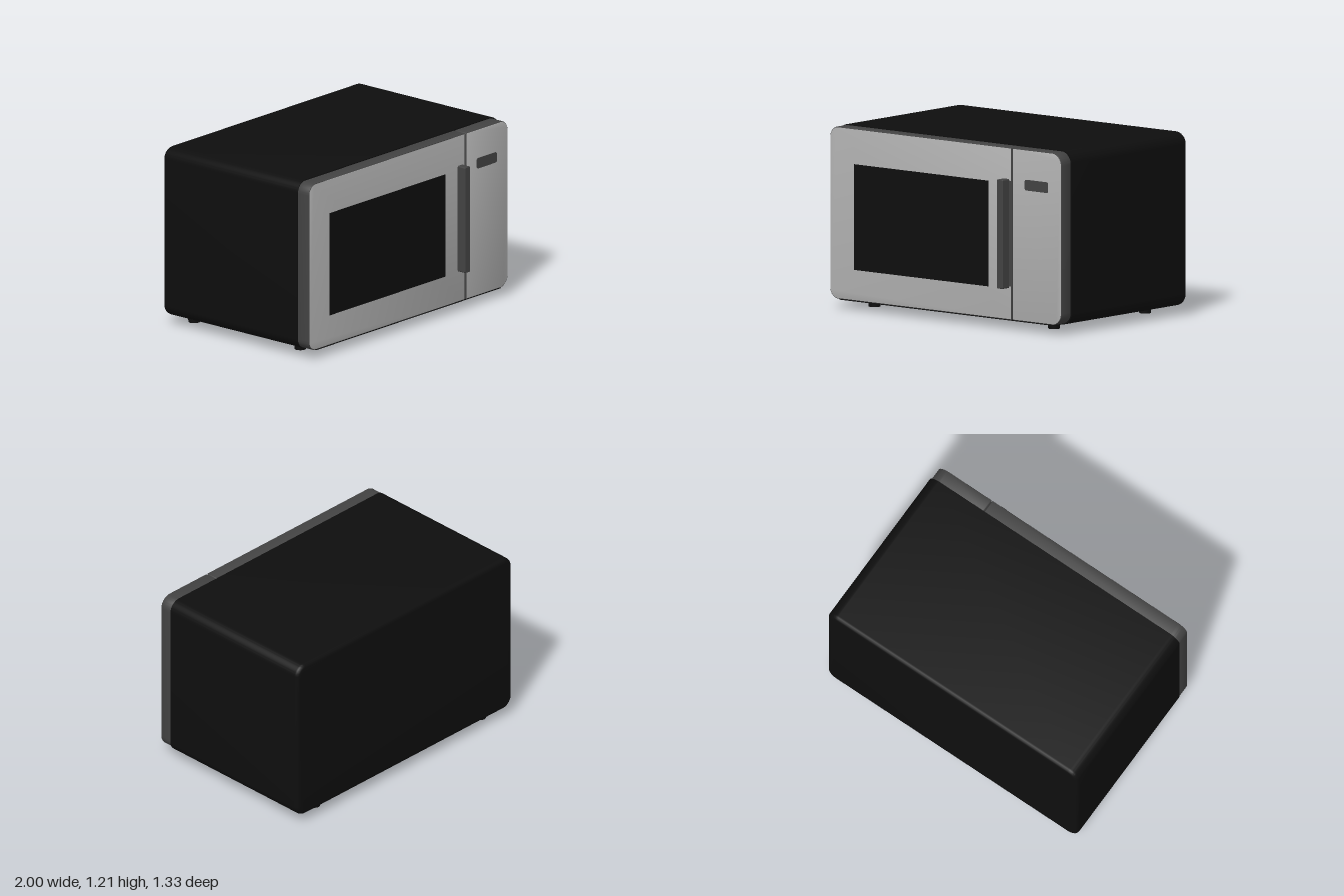
import * as THREE from 'three';
import { toCreasedNormals } from 'three/addons/utils/BufferGeometryUtils.js';

const mat = (name, color) => {
  const m = new THREE.MeshStandardMaterial({ color });
  m.name = name;
  return m;
};

// Rectangle with separate corner radii on its left and right sides
function roundedRect(x0, y0, x1, y1, rl, rr) {
  const s = new THREE.Shape();
  s.moveTo(x0 + rl, y0);
  s.lineTo(x1 - rr, y0);
  s.absarc(x1 - rr, y0 + rr, rr, -Math.PI / 2, 0);
  s.lineTo(x1, y1 - rr);
  s.absarc(x1 - rr, y1 - rr, rr, 0, Math.PI / 2);
  s.lineTo(x0 + rl, y1);
  s.absarc(x0 + rl, y1 - rl, rl, Math.PI / 2, Math.PI);
  s.lineTo(x0, y0 + rl);
  s.absarc(x0 + rl, y0 + rl, rl, Math.PI, Math.PI * 1.5);
  return s;
}

// Extrudes a shape between z0 and z1, bevel included
function slab(shape, z0, z1, bevel, segments = 2) {
  const g = new THREE.ExtrudeGeometry(shape, {
    depth: z1 - z0 - 2 * bevel, curveSegments: 8, bevelEnabled: bevel > 0,
    bevelThickness: bevel, bevelSize: bevel, bevelOffset: -bevel, bevelSegments: segments,
  });
  return g.translate(0, 0, z0 + bevel);
}

export function createModel() {
  const model = new THREE.Group();
  model.name = 'microwave';
  const black = mat('black casing', 0x0e0e0e);
  const silver = mat('light grey front', 0xb2b2b2);
  const grey = mat('dark grey trim', 0x434343);

  const add = (name, geometry, material, x = 0, y = 0, z = 0) => {
    const mesh = new THREE.Mesh(geometry, material);
    mesh.name = name;
    mesh.position.set(x, y, z);
    model.add(mesh);
    return mesh;
  };

  // Casing: rounded at the back, cut off flat where the front joins
  const casing = slab(roundedRect(-1, 0.06, 1, 1.212, 0.08, 0.08), -0.665, 0.54, 0.03, 4);
  const p = casing.attributes.position;
  for (let i = 0; i < p.count; i++) p.setZ(i, Math.min(p.getZ(i), 0.51));
  add('casing', toCreasedNormals(casing, 0.6), black);

  // Door and control panel: light faces, dark edges, narrow gap between them
  const faces = [
    ['door', roundedRect(-0.996, 0.065, 0.564, 1.206, 0.07, 0.006)],
    ['controlPanel', roundedRect(0.571, 0.065, 0.992, 1.206, 0.006, 0.08)],
  ];
  for (const [name, shape] of faces) {
    add(name, toCreasedNormals(slab(shape, 0.505, 0.604, 0.005), 0.6), [silver, grey]);
  }
  add('frontUnderside', new THREE.BoxGeometry(1.84, 0.006, 0.09), black, 0, 0.063, 0.555);

  // Window, display and strip beside the handle
  add('window', new THREE.BoxGeometry(1.155, 0.7, 0.006), black, -0.212, 0.62, 0.604);
  add('display', slab(roundedRect(0.678, 0.936, 0.878, 1.007, 0.015, 0.015), 0.601, 0.608, 0), grey);
  add('handleStrip', new THREE.BoxGeometry(0.035, 0.7, 0.006), grey, 0.556, 0.637, 0.604);

  // Handle
  add('handle', slab(roundedRect(0.49, 0.275, 0.542, 0.998, 0.008, 0.008), 0.595, 0.668, 0.003, 1), grey);

  // Feet
  for (const x of [-0.812, 0.73]) {
    for (const z of [0.37, -0.553]) {
      add('foot', new THREE.CylinderGeometry(0.043, 0.038, 0.075, 16), black, x, 0.0375, z);
    }
  }
  return model;
}
